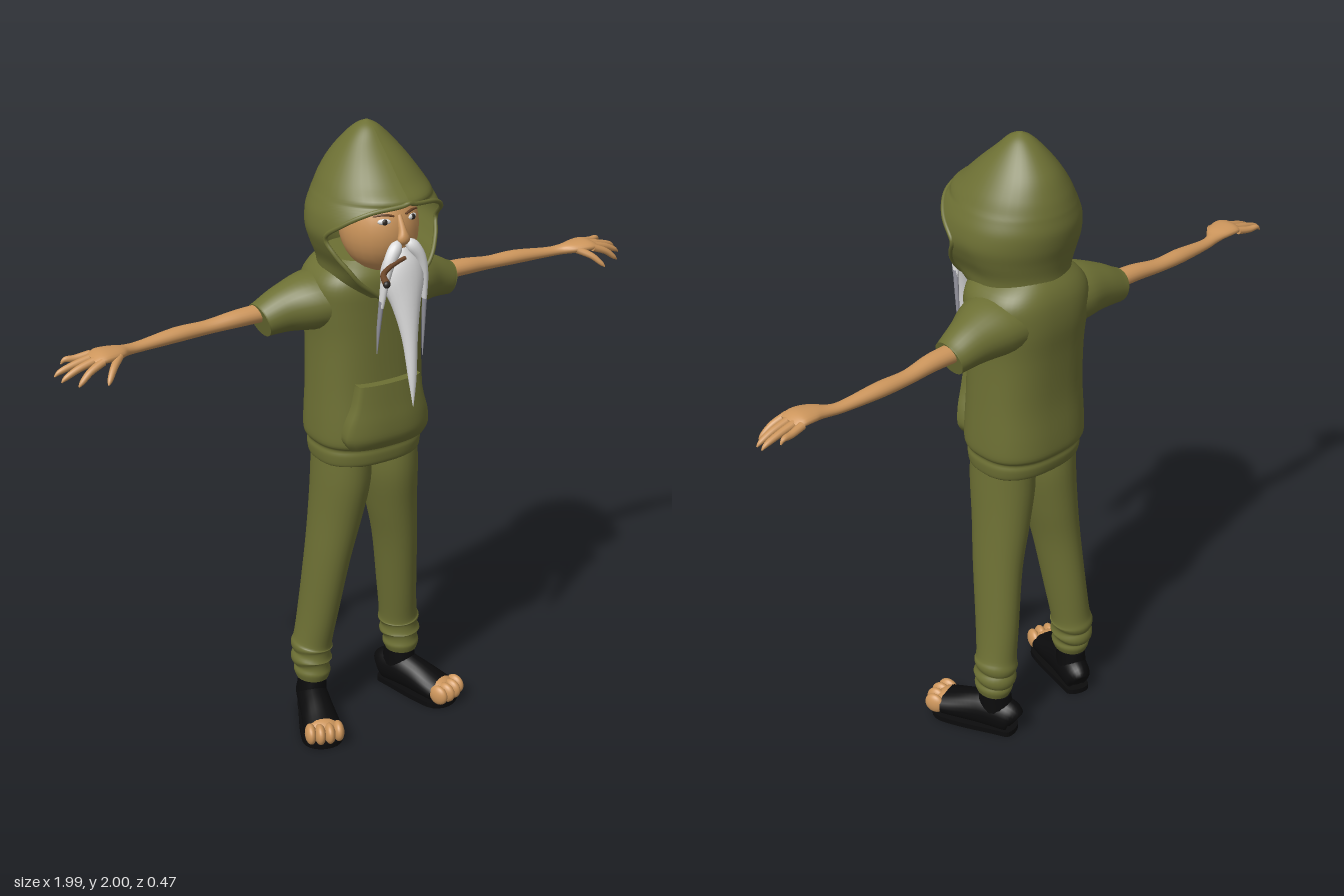
import * as THREE from 'three';

const mat = (name, color, side = THREE.FrontSide) => {
  const m = new THREE.MeshStandardMaterial({ color, side });
  m.name = name;
  return m;
};

// Catmull-Rom through rows of numbers, n steps per span
function spline(rows, n) {
  const out = [];
  const at = i => rows[Math.min(rows.length - 1, Math.max(0, i))];
  for (let i = 0; i < rows.length - 1; i++)
    for (let k = 0; k < n; k++) {
      const t = k / n;
      out.push(rows[i].map((_, c) => {
        const [p, q, r, s] = [at(i - 1)[c], at(i)[c], at(i + 1)[c], at(i + 2)[c]];
        return 0.5 * (2 * q + (r - p) * t + (2 * p - 5 * q + 4 * r - s) * t * t + (3 * q - p - 3 * r + s) * t * t * t);
      }));
    }
  out.push(at(rows.length - 1));
  return out;
}

// Skin over rings of points that run counter-clockwise about the direction of travel
function loft(rings, closed = true, capStart = true, capEnd = true) {
  const n = rings[0].length, pos = [], idx = [];
  rings.forEach(r => r.forEach(p => pos.push(p.x, p.y, p.z)));
  for (let i = 0; i < rings.length - 1; i++)
    for (let j = 0; j < (closed ? n : n - 1); j++) {
      const a = i * n + j, b = i * n + (j + 1) % n;
      idx.push(a, b, b + n, a, b + n, a + n);
    }
  const cap = (ring, flip) => {
    const base = pos.length / 3, c = new THREE.Vector3();
    ring.forEach(p => { pos.push(p.x, p.y, p.z); c.addScaledVector(p, 1 / n); });
    pos.push(c.x, c.y, c.z);
    for (let j = 0; j < n; j++) {
      const a = base + j, b = base + (j + 1) % n;
      idx.push(...(flip ? [b, a, base + n] : [a, b, base + n]));
    }
  };
  if (capStart) cap(rings[0], true);
  if (capEnd) cap(rings[rings.length - 1], false);
  const g = new THREE.BufferGeometry();
  g.setAttribute('position', new THREE.Float32BufferAttribute(pos, 3));
  g.setIndex(idx);
  g.computeVertexNormals();
  return g;
}

// Tapered limb through rows of [x, y, z, radius a, radius b]
function limb(rows, seg = 20, steps = 5) {
  const pts = spline(rows, steps), V = pts.map(p => new THREE.Vector3(p[0], p[1], p[2]));
  const d = V[V.length - 1].clone().sub(V[0]);
  const ref = Math.abs(d.x) > Math.max(Math.abs(d.y), Math.abs(d.z)) ? new THREE.Vector3(0, 1, 0) : new THREE.Vector3(1, 0, 0);
  return loft(pts.map((p, i) => {
    const T = V[Math.min(i + 1, V.length - 1)].clone().sub(V[Math.max(i - 1, 0)]).normalize();
    const A = ref.clone().addScaledVector(T, -ref.dot(T)).normalize(), B = T.clone().cross(A);
    return Array.from({ length: seg }, (_, j) => {
      const t = j / seg * Math.PI * 2;
      return V[i].clone().addScaledVector(A, Math.cos(t) * Math.max(p[3], 0.0008)).addScaledVector(B, Math.sin(t) * Math.max(p[4], 0.0008));
    });
  }));
}

// Rounded-box arc of a horizontal section
const sgnPow = (v, e) => Math.sign(v) * Math.pow(Math.abs(v), e);

export function createModel() {
  const root = new THREE.Group();
  const green = mat('olive cloth', 0x6d7034, THREE.DoubleSide), skin = mat('skin', 0xcd965c);
  const black = mat('black shoe', 0x0b0b0c), white = mat('white hair', 0xdedede);
  const grey = mat('grey hair', 0x92929c), brown = mat('brown', 0x6b4528), dark = mat('dark pupil', 0x2b2622);
  const add = (name, geo, m, parent = root) => {
    const o = new THREE.Mesh(geo, m);
    o.name = name;
    parent.add(o);
    return o;
  };
  const ball = (name, m, x, y, z, rx, ry, rz, parent) => {
    const o = add(name, new THREE.SphereGeometry(1, 24, 16), m, parent);
    o.position.set(x, y, z);
    o.scale.set(rx, ry, rz);
    return o;
  };

  // Pullover body: [y, half width, front z, back z]
  const body = spline([
    [0.945, 0.165, 0.055, -0.19], [0.955, 0.172, 0.066, -0.205], [0.985, 0.176, 0.07, -0.212],
    [1.005, 0.173, 0.068, -0.21], [1.025, 0.183, 0.08, -0.226], [1.08, 0.183, 0.08, -0.226],
    [1.2, 0.178, 0.072, -0.218], [1.35, 0.175, 0.07, -0.224], [1.45, 0.183, 0.07, -0.234],
    [1.52, 0.186, 0.07, -0.23], [1.565, 0.16, 0.06, -0.215], [1.6, 0.11, 0.03, -0.19]], 4);
  add('pullover', loft(body.map(([y, rx, zf, zb]) => Array.from({ length: 48 }, (_, j) => {
    const t = j / 48 * Math.PI * 2, c = Math.cos(t), zc = -0.07;
    return new THREE.Vector3(rx * sgnPow(Math.sin(t), 0.8), y, zc + (c > 0 ? zf - zc : zc - zb) * sgnPow(c, 0.8));
  }))), green);

  // Front pouch pocket wrapped over the belly: [y, half width, bulge]
  const wrap = x => -0.07 + 0.145 * Math.pow(1 - Math.pow(Math.abs(x) / 0.183, 2.5), 0.4);
  const pocket = spline([[1.015, 0.125, 0.014], [1.05, 0.146, 0.034], [1.1, 0.14, 0.036], [1.16, 0.12, 0.03], [1.228, 0.107, 0.024]], 4);
  add('pocket', loft(pocket.map(([y, w, b]) => {
    const xs = Array.from({ length: 17 }, (_, i) => (i / 8 - 1) * w);
    return [...xs.map(x => new THREE.Vector3(x, y, wrap(x) + b)),
      ...xs.reverse().map(x => new THREE.Vector3(x, y, wrap(x) - 0.02))];
  })), green);

  // Hood: [y, half width, z of widest point, back z, rim z, opening half angle]
  const hoodRows = spline([
    [1.5, 0.12, -0.05, -0.2, 0.08, 0.3], [1.55, 0.145, -0.05, -0.2, 0.09, 0.75], [1.6, 0.155, -0.05, -0.197, 0.085, 1.15],
    [1.65, 0.178, -0.04, -0.205, 0.055, 1.35], [1.7, 0.195, -0.03, -0.218, 0.03, 1.38], [1.75, 0.191, -0.03, -0.224, 0.09, 1.08],
    [1.79, 0.176, -0.03, -0.218, 0.145, 0.66], [1.812, 0.165, -0.03, -0.213, 0.178, 0], [1.85, 0.145, -0.035, -0.2, 0.135, 0],
    [1.9, 0.111, -0.04, -0.174, 0.082, 0], [1.95, 0.07, -0.045, -0.13, 0.025, 0], [1.985, 0.034, -0.05, -0.088, -0.012, 0],
    [2.0, 0.006, -0.05, -0.056, -0.044, 0]], 5);
  const hoodRings = hoodRows.map(([y, rx, zc, zb, rim, a0]) => {
    const a = Math.max(a0, 0);
    return Array.from({ length: 41 }, (_, j) => {
      const t = a + (2 * Math.PI - 2 * a) * j / 40, c = Math.cos(t);
      return new THREE.Vector3(rx * Math.sin(t), y, zc + c * (c > 0 ? (rim - zc) / Math.cos(a) : zc - zb));
    });
  });
  add('hood', loft(hoodRings, false, false, true), green);
  const open = hoodRings.filter((_, i) => i <= 35);
  const rimPath = [...open.map(r => r[0]), ...open.slice(0, -1).map(r => r[40]).reverse()];
  add('hoodRim', new THREE.TubeGeometry(new THREE.CatmullRomCurve3(rimPath), 120, 0.007, 8), green);

  // Head and face
  add('neck', limb([[0, 1.5, -0.06, 0.06, 0.06], [0, 1.66, -0.02, 0.06, 0.06]]), skin);
  ball('head', skin, 0, 1.705, 0.015, 0.116, 0.14, 0.125);
  add('nose', limb([[0, 1.76, 0.122, 0.008, 0.01], [0, 1.72, 0.142, 0.012, 0.014], [0, 1.695, 0.15, 0.02, 0.014], [0, 1.68, 0.142, 0.01, 0.008]], 14), skin);
  add('beard', limb([[0, 1.66, 0.125, 0.03, 0.03], [0, 1.62, 0.135, 0.062, 0.04], [0, 1.57, 0.145, 0.07, 0.042], [0, 1.5, 0.165, 0.046, 0.033],
    [0, 1.4, 0.185, 0.024, 0.023], [0, 1.28, 0.2, 0.013, 0.012], [0, 1.19, 0.206, 0.001, 0.001]]), white);
  add('pipe', limb([[-0.005, 1.645, 0.165, 0.006, 0.006], [-0.06, 1.632, 0.175, 0.007, 0.007], [-0.095, 1.618, 0.19, 0.009, 0.009], [-0.108, 1.605, 0.228, 0.011, 0.011]], 12), brown);
  ball('pipeEnd', dark, -0.109, 1.604, 0.23, 0.011, 0.011, 0.009);

  for (const s of [1, -1]) {
    const side = s > 0 ? 'left' : 'right';
    // Eyes, brow and moustache
    ball(side + 'Eye', white, s * 0.047, 1.747, 0.119, 0.02, 0.009, 0.008).rotation.y = s * 0.4;
    ball(side + 'Pupil', dark, s * 0.047, 1.747, 0.1235, 0.009, 0.009, 0.006);
    add(side + 'Brow', limb([[s * 0.02, 1.762, 0.129, 0.003, 0.004], [s * 0.047, 1.768, 0.12, 0.004, 0.004], [s * 0.075, 1.762, 0.102, 0.002, 0.003]], 8), brown);
    add(side + 'Moustache', limb([[s * 0.012, 1.685, 0.14, 0.008, 0.01], [s * 0.028, 1.672, 0.15, 0.02, 0.018], [s * 0.052, 1.635, 0.155, 0.018, 0.018],
      [s * 0.067, 1.58, 0.155, 0.012, 0.016], [s * 0.075, 1.5, 0.147, 0.007, 0.01]], 14), white);
    add(side + 'MoustacheTip', limb([[s * 0.075, 1.52, 0.149, 0.007, 0.01], [s * 0.079, 1.42, 0.138, 0.005, 0.007], [s * 0.08, s > 0 ? 1.31 : 1.35, 0.132, 0.001, 0.002]], 10), grey);

    // Sleeve, arm and hand
    add(side + 'Sleeve', limb([[s * 0.08, 1.468, -0.09, 0.09, 0.125], [s * 0.17, 1.463, -0.1, 0.088, 0.108], [s * 0.25, 1.45, -0.11, 0.072, 0.078],
      [s * 0.315, 1.432, -0.114, 0.056, 0.062], [s * 0.333, 1.427, -0.114, 0.053, 0.058]], 28), green);
    add(side + 'Arm', limb([[s * 0.28, 1.447, -0.122, 0.028, 0.034], [s * 0.4, 1.445, -0.122, 0.026, 0.03], [s * 0.5, 1.437, -0.128, 0.021, 0.024],
      [s * 0.6, 1.436, -0.127, 0.022, 0.026], [s * 0.72, 1.43, -0.12, 0.016, 0.019], [s * 0.77, 1.432, -0.112, 0.016, 0.021],
      [s * 0.81, 1.438, -0.1, 0.018, 0.038], [s * 0.855, 1.44, -0.095, 0.018, 0.046], [s * 0.885, 1.434, -0.095, 0.01, 0.04]]), skin);
    [[0.87, -0.132, 0.955, 1.418, -0.148], [0.875, -0.108, 0.992, 1.4, -0.112], [0.875, -0.083, 0.985, 1.393, -0.08],
      [0.865, -0.06, 0.95, 1.385, -0.042], [0.81, -0.07, 0.875, 1.385, -0.008]].forEach(([x, z, tx, ty, tz], i) =>
      add(side + 'Finger' + (i + 1), limb([[s * x, 1.436, z, 0.012, 0.013], [s * (x + (tx - x) * 0.5), 1.43 - (1.42 - ty) * 0.3, (z + tz) / 2, 0.0105, 0.011],
        [s * (x + (tx - x) * 0.85), ty + 0.012, z + (tz - z) * 0.85, 0.008, 0.008], [s * tx, ty, tz, 0.002, 0.002]], 10), skin));

    // Trouser leg with bunched cuff
    add(side + 'Leg', limb([[s * 0.085, 0.98, -0.068, 0.083, 0.115], [s * 0.087, 0.88, -0.068, 0.086, 0.115], [s * 0.103, 0.75, -0.077, 0.077, 0.103],
      [s * 0.126, 0.6, -0.088, 0.066, 0.09], [s * 0.149, 0.4, -0.11, 0.06, 0.078], [s * 0.163, 0.29, -0.122, 0.06, 0.07],
      [s * 0.167, 0.262, -0.124, 0.066, 0.074], [s * 0.168, 0.24, -0.122, 0.058, 0.067], [s * 0.17, 0.215, -0.122, 0.065, 0.073],
      [s * 0.17, 0.193, -0.118, 0.054, 0.062], [s * 0.171, 0.172, -0.117, 0.058, 0.065], [s * 0.172, 0.148, -0.116, 0.05, 0.057]], 28), green);

    // Open-toed shoe turned outward
    const foot = new THREE.Group();
    foot.name = side + 'Foot';
    foot.position.set(s * 0.172, 0, -0.115);
    foot.rotation.y = s * 0.34;
    root.add(foot);
    add('shoe', limb([[0, 0.05, -0.082, 0.022, 0.035], [0, 0.058, -0.065, 0.043, 0.055], [0, 0.066, 0, 0.05, 0.063], [0, 0.06, 0.06, 0.053, 0.057],
      [0, 0.048, 0.13, 0.06, 0.045], [0, 0.043, 0.165, 0.062, 0.039]], 24), black, foot);
    add('shoeCollar', limb([[0, 0.05, -0.01, 0.048, 0.062], [0, 0.1, -0.008, 0.047, 0.058], [0, 0.142, -0.008, 0.046, 0.052]]), black, foot);
    add('ankle', limb([[0, 0.1, -0.005, 0.038, 0.045], [0, 0.2, -0.005, 0.036, 0.04]]), skin, foot);
    const sole = new THREE.Shape();
    sole.moveTo(-0.04, 0.06);
    sole.bezierCurveTo(-0.04, 0.09, 0.04, 0.09, 0.04, 0.06);
    sole.bezierCurveTo(0.045, 0, 0.066, -0.08, 0.066, -0.16);
    sole.bezierCurveTo(0.06, -0.235, -0.06, -0.235, -0.066, -0.16);
    sole.bezierCurveTo(-0.066, -0.08, -0.045, 0, -0.04, 0.06);
    add('sole', new THREE.ExtrudeGeometry(sole, { depth: 0.018, bevelEnabled: false, curveSegments: 10 }).rotateX(-Math.PI / 2), black, foot);
    ball('forefoot', skin, 0, 0.047, 0.165, 0.056, 0.036, 0.04, foot);
    [-0.045, -0.016, 0.015, 0.045].forEach((x, i) =>
      ball('toe' + (i + 1), skin, x, 0.048, 0.205 - Math.abs(x) * 0.3, 0.0185, 0.034, 0.034, foot));
  }
  return root;
}
